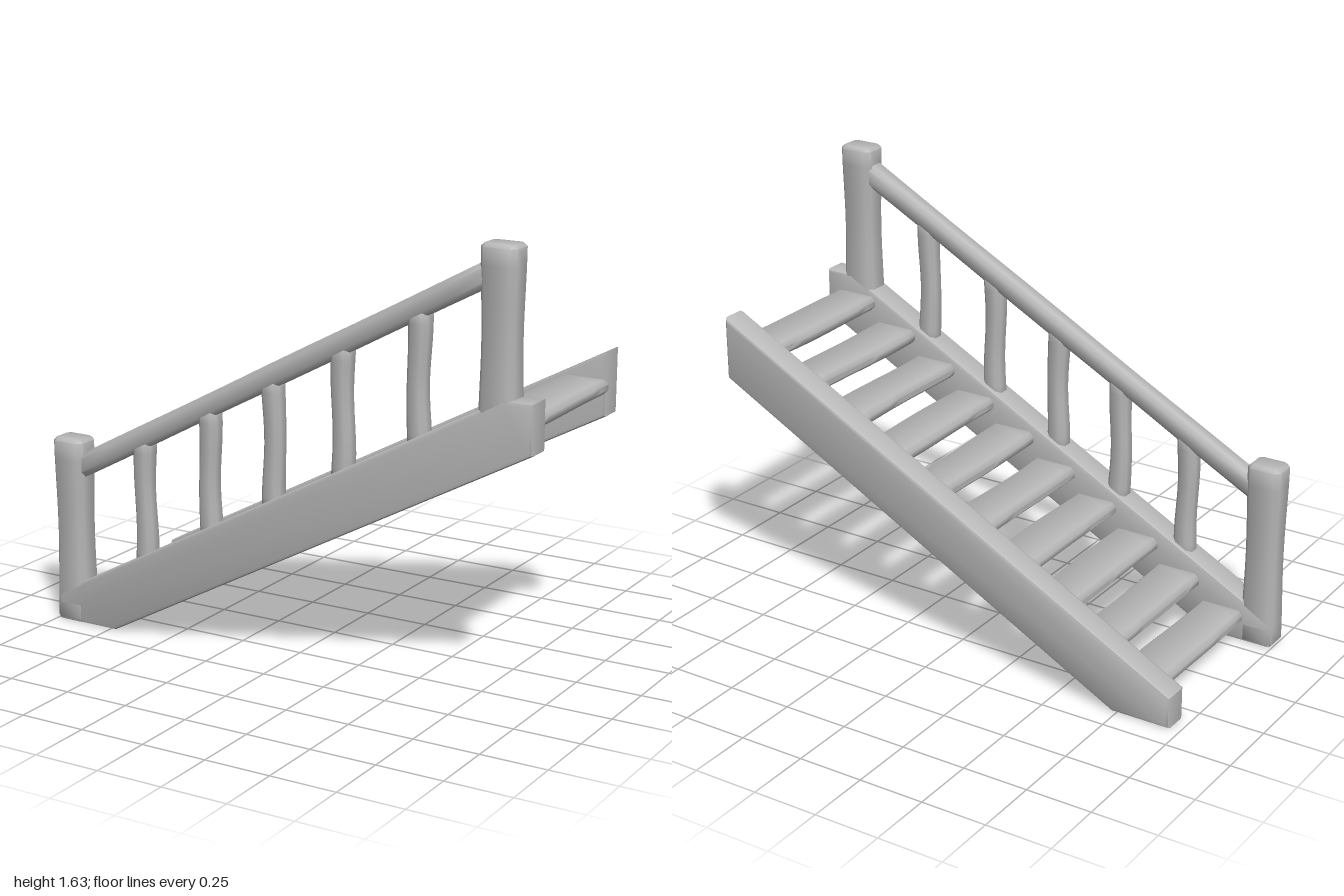
import * as THREE from 'three';
import { toCreasedNormals } from 'three/addons/utils/BufferGeometryUtils.js';

const SLOPE = 0.537;
const PITCH = Math.atan(SLOPE);
const RAIL_Z = 0.353; // centre of the railing and front stringer
const stringerTop = (x) => 0.637 + SLOPE * x;
const railMiddle = (x) => 1.09 + SLOPE * x;

// Timber of w x d section along +y, soft edged, with uneven hand-hewn sides
function timber(w, d, h, bevel, rule) {
  const x = w / 2, y = d / 2, c = bevel;
  const section = new THREE.Shape([
    [-x + c, -y], [x - c, -y], [x, -y + c], [x, y - c],
    [x - c, y], [-x + c, y], [-x, y - c], [-x, -y + c],
  ].map(([a, b]) => new THREE.Vector2(a, b)));
  const edge = Math.min(bevel, 0.012);
  const geometry = new THREE.ExtrudeGeometry(section, {
    depth: h - 2 * edge, steps: 10, bevelEnabled: true,
    bevelThickness: edge, bevelSize: edge, bevelOffset: -edge, bevelSegments: 1,
  });
  geometry.translate(0, 0, edge).rotateX(-Math.PI / 2);
  const p = geometry.attributes.position;
  for (let i = 0; i < p.count; i++) {
    const { scale = 1, shift = 0 } = rule(p.getY(i) / h);
    p.setX(i, p.getX(i) * scale + shift);
    p.setZ(i, p.getZ(i) * scale);
  }
  return toCreasedNormals(geometry, 0.9);
}

// Sloping side beam cut from its side outline
function stringer(points) {
  const b = 0.014;
  const geometry = new THREE.ExtrudeGeometry(
    new THREE.Shape(points.map(([x, y]) => new THREE.Vector2(x, y))),
    { depth: 0.107 - 2 * b, bevelEnabled: true, bevelThickness: b, bevelSize: b, bevelOffset: -b, bevelSegments: 2 });
  geometry.translate(0, 0, -0.0535 + b);
  return toCreasedNormals(geometry, 0.7);
}

export function createModel() {
  const model = new THREE.Group();
  model.name = 'staircase';
  const wood = new THREE.MeshStandardMaterial({ color: 0xb8b8b8 });
  wood.name = 'plain grey';

  const add = (name, geometry, x, y, z) => {
    const mesh = new THREE.Mesh(geometry, wood);
    mesh.name = name;
    mesh.position.set(x, y, z);
    model.add(mesh);
    return mesh;
  };

  // Side beams
  add('frontStringer', stringer([
    [-0.99, 0], [-0.73, 0], [1, 0.93], [1, 1.11], [0.885, 1.11], [-0.99, stringerTop(-0.99)],
  ]), 0, 0, RAIL_Z);
  add('backStringer', stringer([
    [-0.96, 0], [-0.73, 0], [0.945, 0.9], [0.945, 1.14], [-0.96, stringerTop(-0.96)],
  ]), 0, 0, -0.355);

  // Ten treads, each slightly bowed
  for (let i = 0; i < 10; i++) {
    const geometry = timber(0.186, 0.056, 0.64, 0.018, (t) => ({
      scale: 1 + 0.02 * Math.sin(t * 5 + i * 2),
      shift: 0.003 * Math.sin(t * 6 + i * 1.7),
    }));
    geometry.rotateX(Math.PI / 2);
    add('tread' + (i + 1), geometry, -0.787 + 0.183 * i, 0.096 + 0.1015 * i, -0.32);
  }

  // End posts, waisted in the middle
  const waist = (t) => ({ scale: 1 - 0.09 * Math.sin(Math.PI * t) ** 2 });
  add('lowerPost', timber(0.134, 0.108, 0.72, 0.018, waist), -0.933, 0, RAIL_Z);
  add('upperPost', timber(0.137, 0.106, 0.65, 0.018, waist), 0.857, 0.98, RAIL_Z);

  // Handrail between the posts
  const railLength = 1.76 / Math.cos(PITCH);
  const rail = add('handrail', timber(0.083, 0.08, railLength, 0.018, (t) => ({
    scale: 1 + 0.02 * Math.sin(t * 14),
  })), -0.92, railMiddle(-0.92), RAIL_Z);
  rail.rotation.z = PITCH - Math.PI / 2;

  // Balusters
  [-0.605, -0.315, -0.04, 0.245, 0.545].forEach((x, i) => {
    const bottom = stringerTop(x) - 0.05;
    add('baluster' + (i + 1), timber(0.074, 0.07, railMiddle(x) - bottom, 0.016, (t) => ({
      scale: 1 + 0.05 * Math.cos(t * 2 * Math.PI),
      shift: 0.004 * Math.sin(t * 7 + i * 2),
    })), x, bottom, RAIL_Z);
  });

  return model;
}
